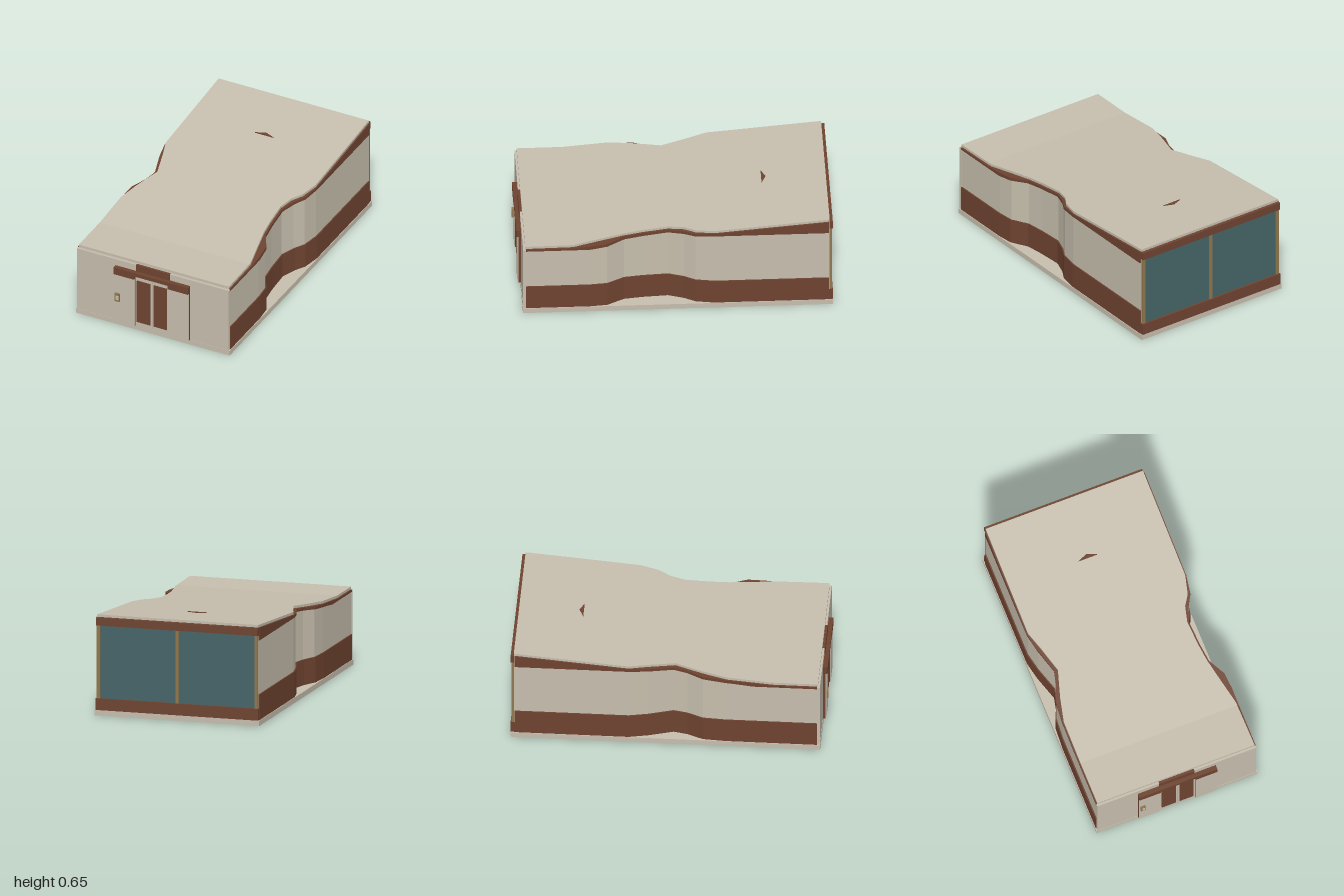
import * as THREE from 'three';

const material = (name, color) => new THREE.MeshStandardMaterial({ name, color });

// Linear interpolation through [z, value] points listed from front to back
function at(points, z) {
  for (let i = 1; i < points.length; i++) {
    const [z0, v0] = points[i - 1], [z1, v1] = points[i];
    if (z >= z1) return v0 + (v1 - v0) * Math.min(1, Math.max(0, (z0 - z) / (z0 - z1)));
  }
  return points[points.length - 1][1];
}

// Plan outlines, half width along z; each side has its own inward wave
const wallLeft = [[0.95, 0.535], [0.54, 0.535], [0.43, 0.525], [0.32, 0.465], [0.2, 0.45],
  [0.04, 0.44], [-0.06, 0.475], [-0.13, 0.515], [-0.25, 0.535], [-0.98, 0.535]];
const wallRight = [[0.95, 0.535], [0.36, 0.535], [0.22, 0.525], [0.12, 0.48], [0.03, 0.46],
  [-0.13, 0.51], [-0.25, 0.535], [-0.98, 0.535]];
const roofLeft = [[0.95, 0.535], [0.64, 0.53], [0.46, 0.49], [0.32, 0.46], [0.2, 0.445],
  [0.04, 0.435], [-0.06, 0.46], [-0.13, 0.505], [-0.25, 0.535], [-0.98, 0.535]];
const roofRight = [[0.95, 0.535], [0.37, 0.535], [0.22, 0.5], [0.12, 0.47], [0.04, 0.445],
  [-0.13, 0.495], [-0.25, 0.535], [-0.98, 0.535]];

// Heights along z
const roofTop = [[0.95, 0.507], [0.66, 0.507], [-0.98, 0.65]];
const trimBottom = [[0.95, 0.475], [0.54, 0.475], [0.43, 0.488], [0.2, 0.51],
  [-0.13, 0.54], [-0.25, 0.55], [-0.98, 0.55]];

// Closed solid between two side outlines, from height y0(z) to y1(z)
function loft(left, right, y0, y1, outset = 0, inset = 0) {
  const zs = [...new Set([...left, ...right, ...trimBottom, ...roofTop].map(p => p[0]))].sort((a, b) => b - a);
  const rings = zs.map((z, i) => {
    const xl = at(left, z) + outset, xr = -at(right, z) - outset;
    const zz = i === 0 ? z - inset : i === zs.length - 1 ? z + inset : z;
    return [[xr, y0(z), zz], [xl, y0(z), zz], [xl, y1(z), zz], [xr, y1(z), zz]];
  });
  const out = [];
  const quad = (a, b, c, d) => out.push(...a, ...b, ...c, ...a, ...c, ...d);
  for (let i = 0; i < rings.length - 1; i++) {
    const r = rings[i], s = rings[i + 1];
    for (let k = 0; k < 4; k++) quad(r[k], s[k], s[(k + 1) % 4], r[(k + 1) % 4]);
  }
  quad(...rings[0]);
  quad(...rings[rings.length - 1].slice().reverse());
  const g = new THREE.BufferGeometry();
  g.setAttribute('position', new THREE.Float32BufferAttribute(out, 3));
  g.computeVertexNormals();
  return g;
}

export function createModel() {
  const model = new THREE.Group();
  model.name = 'building';
  const beige = material('beige plaster', 0xc6bead);
  const brown = material('brown panel', 0x6e4330);
  const glass = material('teal glass', 0x456467);
  const bronze = material('bronze frame', 0x8f774d);

  const add = (name, geometry, mat) => {
    const mesh = new THREE.Mesh(geometry, mat);
    mesh.name = name;
    model.add(mesh);
    return mesh;
  };
  // Box given by its limits
  const box = (name, mat, x0, x1, y0, y1, z0, z1) => {
    const m = add(name, new THREE.BoxGeometry(x1 - x0, y1 - y0, z1 - z0), mat);
    m.position.set((x0 + x1) / 2, (y0 + y1) / 2, (z0 + z1) / 2);
    return m;
  };

  // Floor slab
  box('floorSlab', beige, -0.547, 0.547, 0, 0.035, -1, 0.965);

  // Walls with a brown lower band and a rising brown trim under the roof
  const top = z => at(roofTop, z);
  const under = z => top(z) - 0.016;
  add('walls', loft(wallLeft, wallRight, () => 0.035, z => under(z) - 0.003), beige);
  add('lowerBand', loft(wallLeft, wallRight, () => 0.035, () => 0.2, 0.008, 0.006), brown);
  add('upperTrim', loft(wallLeft, wallRight, z => at(trimBottom, z), z => under(z) - 0.002, 0.008, 0.006), brown);

  // Sloping roof with its small triangular marker
  add('roof', loft(roofLeft, roofRight, under, top), beige);
  const tri = new THREE.Shape([[-0.065, 0.572], [0.065, 0.572], [0, 0.6]].map(p => new THREE.Vector2(...p)));
  const marker = add('roofMarker', new THREE.ExtrudeGeometry(tri, { depth: 0.005, bevelEnabled: false }), brown);
  marker.rotation.x = -Math.PI / 2;
  marker.position.y = 0.614;

  // Front facade plate
  box('frontWall', beige, -0.54, 0.54, 0.035, 0.485, 0.945, 0.963);

  // Entrance: side panels, stepped lintel and header
  for (const s of [-1, 1]) {
    const mid = s * 0.1925;
    box('sidePanelCore', brown, mid - 0.0725, mid + 0.0725, 0.035, 0.39, 0.955, 0.98);
    box('sidePanelFace', beige, mid - 0.0725, mid + 0.0725, 0.037, 0.39, 0.98, 0.985);
    box('lintelEnd', brown, mid - 0.0725, mid + 0.0725, 0.39, 0.44, 0.955, 0.993);
    // Sliding door leaf with its panel
    const door = s * 0.06;
    box('door', beige, door - 0.0585, door + 0.0585, 0.04, 0.415, 0.955, 0.974);
    box('doorPanel', brown, door - 0.047, door + 0.047, 0.068, 0.378, 0.974, 0.979);
  }
  box('lintelMiddle', brown, -0.12, 0.12, 0.415, 0.44, 0.955, 0.993);
  box('header', brown, -0.12, 0.12, 0.44, 0.486, 0.945, 0.967);

  // Keypad beside the doors
  box('keypad', bronze, -0.255, -0.223, 0.192, 0.251, 0.985, 0.997);
  box('keypadScreen', beige, -0.248, -0.226, 0.206, 0.236, 0.997, 1);

  // Rear window wall
  box('rearGlass', glass, -0.533, 0.533, 0.105, 0.59, -0.985, -0.975);
  box('rearSill', brown, -0.54, 0.54, 0.035, 0.11, -1, -0.975);
  box('rearBeam', brown, -0.538, 0.538, 0.582, 0.632, -1, -0.978);
  for (const x of [-0.524, 0, 0.524]) {
    box('windowPost', bronze, x - 0.011, x + 0.011, 0.11, 0.582, -0.993, -0.98);
  }

  return model;
}
